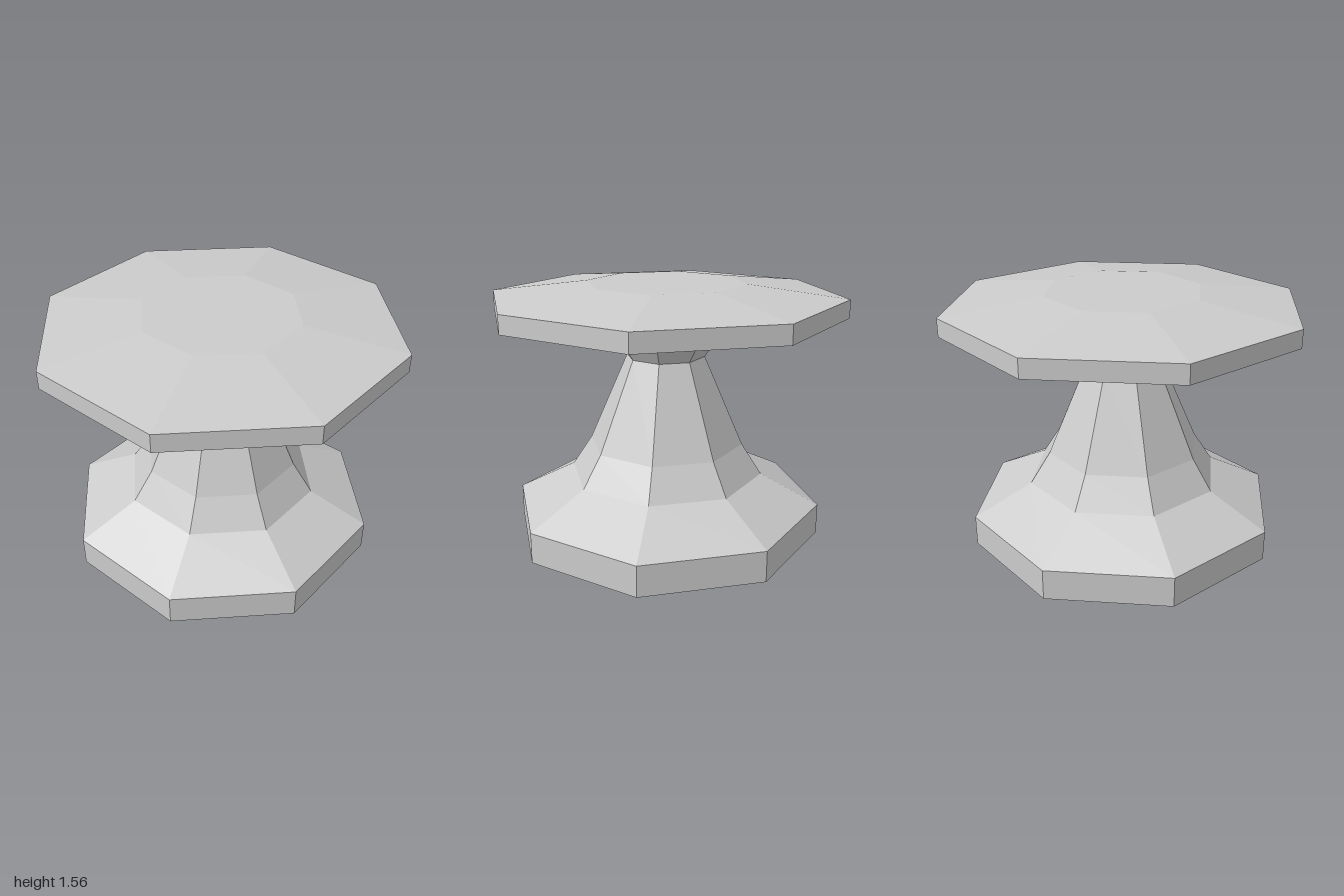
import * as THREE from 'three';

const SIDES = 8;
const material = new THREE.MeshStandardMaterial({ color: 0xcccccc, flatShading: true });

// Turns a profile of [distance to flat side, height] into an eight-sided solid
function octagonal(name, profile) {
  const toCorner = 1 / Math.cos(Math.PI / SIDES);
  const points = profile.map(([d, y]) => new THREE.Vector2(d * toCorner, y));
  const mesh = new THREE.Mesh(new THREE.LatheGeometry(points, SIDES, Math.PI / SIDES), material);
  mesh.name = name;
  return mesh;
}

export function createModel() {
  const group = new THREE.Group();
  group.name = 'pedestalTable';

  group.add(
    // Plinth with a sloped shoulder
    octagonal('base', [[0, 0], [0.89, 0], [0.89, 0.19], [0.557, 0.375]]),
    // Tapering stem that flares out under the top
    octagonal('column', [[0.557, 0.375], [0.443, 0.565], [0.222, 1.115], [0.333, 1.3]]),
    // Slab bevelled above and below
    octagonal('tableTop', [[0.333, 1.3], [1, 1.375], [1, 1.485], [0.445, 1.56], [0, 1.56]])
  );
  return group;
}
